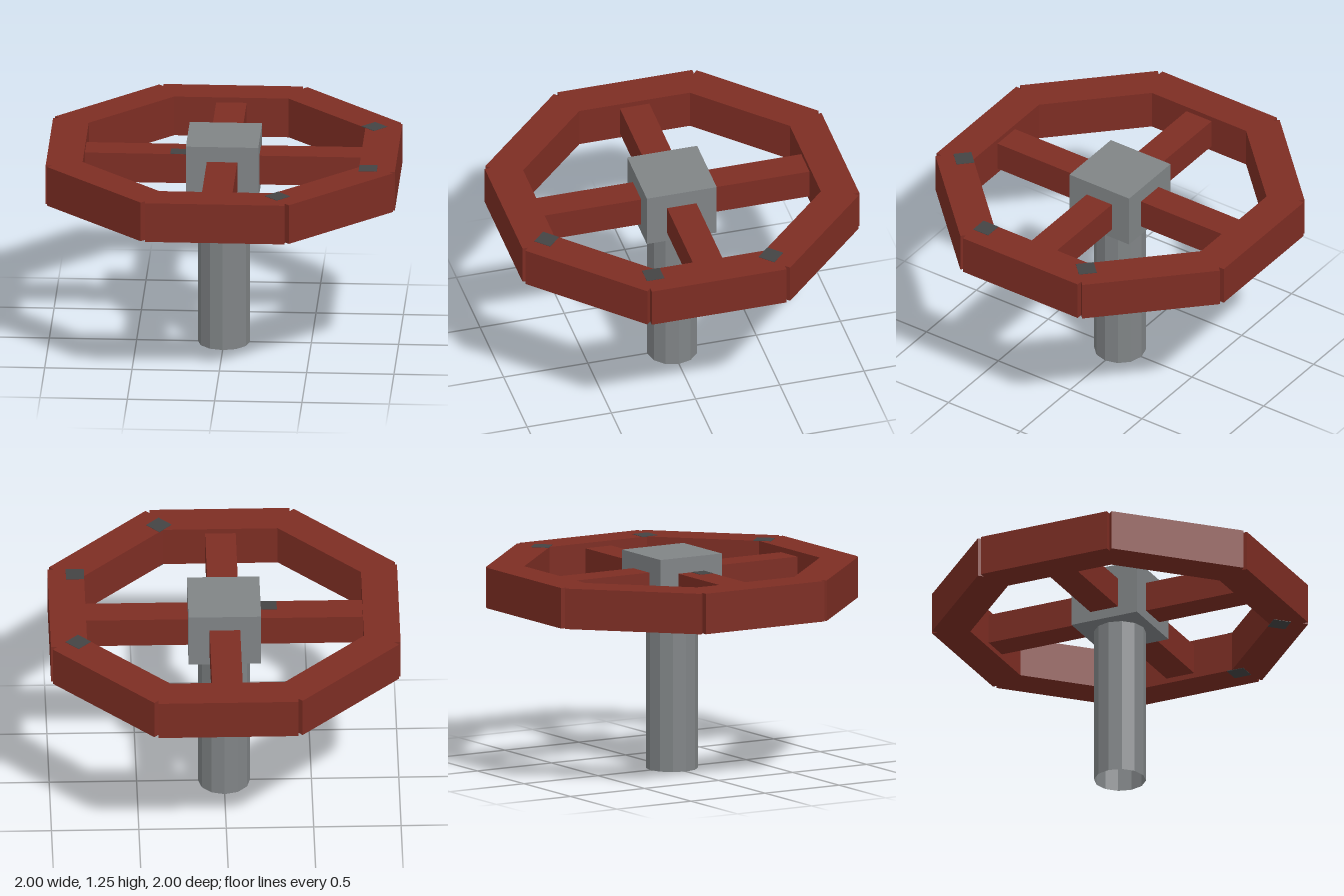
import * as THREE from 'three';

const mat = (name, color, extra = {}) => {
  const m = new THREE.MeshStandardMaterial({ color, ...extra });
  m.name = name;
  return m;
};

export function createModel() {
  const red = mat('rust red', 0x7d2d23);
  const steel = mat('steel grey', 0x808486);
  const steelTube = mat('steel grey tube', 0x808486, { side: THREE.DoubleSide, flatShading: true });
  const dark = mat('dark grey', 0x444444);

  const group = new THREE.Group();
  group.name = 'valveWheel';

  const add = (parent, name, geo, material, x, y, z) => {
    const mesh = new THREE.Mesh(geo, material);
    mesh.name = name;
    mesh.position.set(x, y, z);
    parent.add(mesh);
    return mesh;
  };

  const midY = 1.077;      // centre height of the wheel
  const rimH = 0.235, rimW = 0.208;
  const spokeSize = 0.175;

  // Hollow post and square hub
  add(group, 'post', new THREE.CylinderGeometry(0.149, 0.149, 0.95, 12, 1, true), steelTube, 0, 0.475, 0);
  add(group, 'hub', new THREE.BoxGeometry(0.415, 0.322, 0.415), steel, 0, 1.094, 0);

  // Eight straight rim segments; three carry worn patches on an inner corner
  const rimGeo = new THREE.BoxGeometry(0.8, rimH, rimW);
  const patchGeo = new THREE.BoxGeometry(0.104, 0.004, 0.104);
  for (let i = 0; i < 8; i++) {
    const segment = new THREE.Group();
    segment.name = 'rimSegment' + i;
    segment.rotation.y = i * Math.PI / 4;
    add(segment, 'rimBar', rimGeo, red, 0, midY, 1 - rimW / 2);
    if (i >= 1 && i <= 3) {
      for (const s of [-1, 1]) {
        add(segment, 'wornPatch', patchGeo, dark, -0.348, midY + s * rimH / 2, 1 - rimW * 0.75);
      }
    }
    group.add(segment);
  }

  // Four spokes between hub and rim
  const spokeGeo = new THREE.BoxGeometry(spokeSize, spokeSize, 0.66);
  for (let i = 0; i < 4; i++) {
    const spoke = new THREE.Group();
    spoke.name = 'spoke' + i;
    spoke.rotation.y = i * Math.PI / 2;
    add(spoke, 'spokeBar', spokeGeo, red, 0, midY, 0.49);
    group.add(spoke);
  }

  // Worn patch on one spoke, beside the hub
  add(group, 'spokePatch', new THREE.BoxGeometry(0.095, 0.004, 0.085), dark,
    -0.255, midY + spokeSize / 2, 0.044);

  return group;
}
